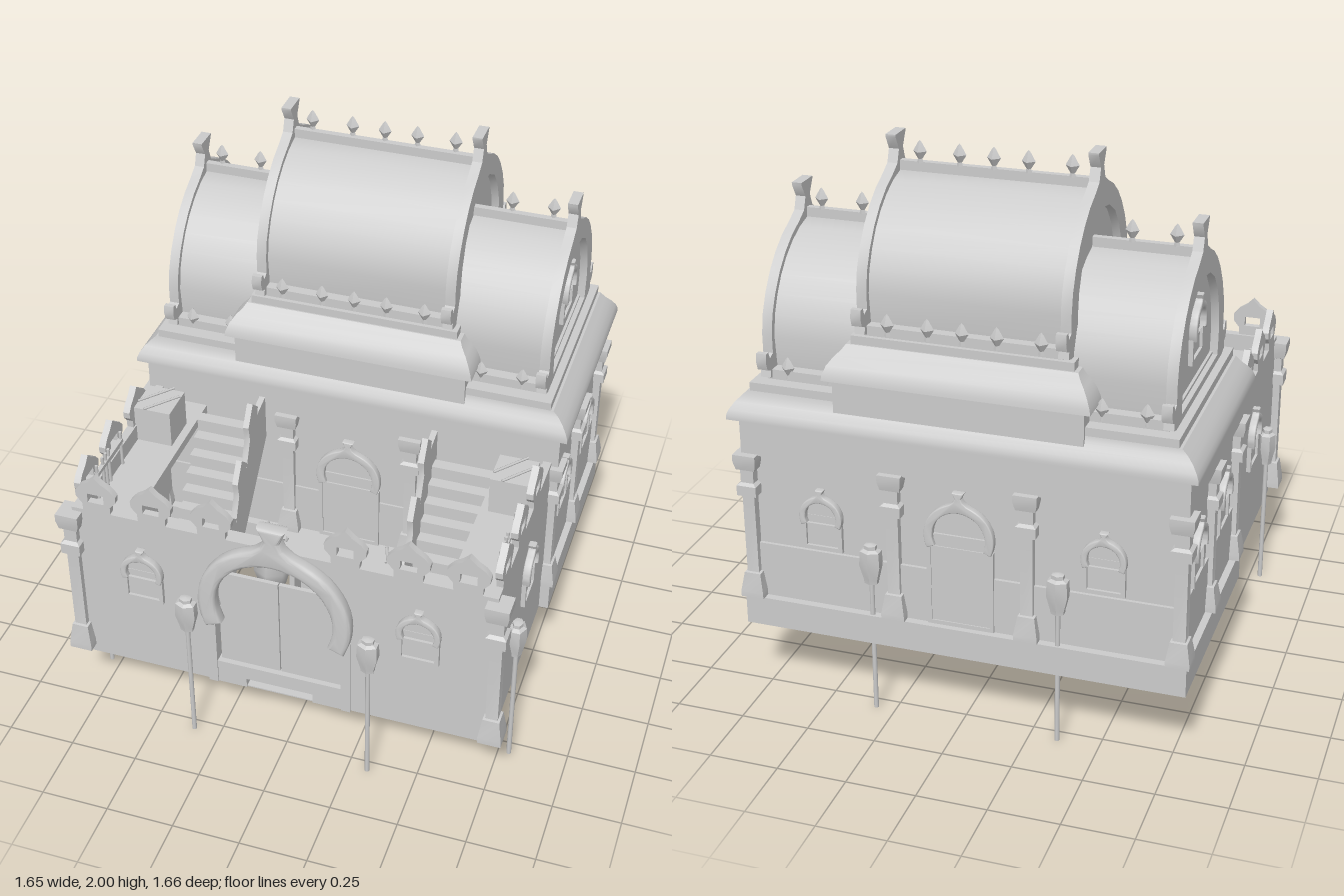
import * as THREE from 'three';
import { toCreasedNormals } from 'three/addons/utils/BufferGeometryUtils.js';

const mat = new THREE.MeshStandardMaterial({ color: 0xcccccc, side: THREE.DoubleSide });
const CZ = -0.392; // centre line of the hall in z
const V = (p) => p.map(([x, y]) => new THREE.Vector2(x, y));
const mirrorPts = (half) => [...half, ...half.filter(p => p[0] > 0).reverse().map(([x, y]) => [-x, y])];

export function createModel() {
  const root = new THREE.Group();

  const add = (parent, name, geo, x = 0, y = 0, z = 0, ry = 0) => {
    const m = new THREE.Mesh(geo, mat);
    m.name = name;
    m.position.set(x, y, z);
    m.rotation.y = ry;
    parent.add(m);
    return m;
  };
  // box given by its limits
  const box = (name, x0, x1, y0, y1, z0, z1, parent = root) =>
    add(parent, name, new THREE.BoxGeometry(x1 - x0, y1 - y0, z1 - z0), (x0 + x1) / 2, (y0 + y1) / 2, (z0 + z1) / 2);
  // extruded outline with optional holes and bevel
  const extrude = (pts, depth, holes = [], bevel = 0) => {
    const s = new THREE.Shape(V(pts));
    holes.forEach(h => s.holes.push(new THREE.Path(V(h))));
    return toCreasedNormals(new THREE.ExtrudeGeometry(s, {
      depth, bevelEnabled: bevel > 0, bevelSize: bevel, bevelThickness: bevel, bevelSegments: 3 }), 0.6);
  };
  // outline drawn in (z, y), spanning x0..x1
  const alongX = (name, pts, x0, x1, holes) =>
    add(root, name, extrude(pts, x1 - x0, holes).rotateY(-Math.PI / 2), x1);
  // stacked rectangles [halfX, halfZ, y], closed at both ends
  const loft = (levels) => {
    const p = [], idx = [];
    levels.forEach(([a, b, y]) => p.push(-a, y, b, a, y, b, a, y, -b, -a, y, -b));
    for (let i = 0; i < levels.length - 1; i++) for (let j = 0; j < 4; j++) {
      const a = i * 4 + j, b = i * 4 + (j + 1) % 4;
      idx.push(a, b, b + 4, a, b + 4, a + 4);
    }
    const t = (levels.length - 1) * 4;
    idx.push(0, 2, 1, 0, 3, 2, t, t + 1, t + 2, t, t + 2, t + 3);
    const g = new THREE.BufferGeometry();
    g.setAttribute('position', new THREE.Float32BufferAttribute(p, 3));
    g.setIndex(idx);
    return toCreasedNormals(g, 0.6);
  };
  const arc = (r, a0, a1, n, cy = 0) => Array.from({ length: n + 1 }, (_, i) => {
    const a = (a0 + (a1 - a0) * i / n) * Math.PI / 180;
    return [r * Math.cos(a), cy + r * Math.sin(a)];
  });
  // horseshoe arch band: ogee shoulders rising to a narrow neck and flared tip
  const archBand = (ri, ro, tip, depth, bevel) => {
    const half = [...arc(ro, -22, 66, 12), [ro * 0.24, ro * 0.99], [ro * 0.11, ro + tip * 0.25],
      [ro * 0.05, ro + tip * 0.6], [ro * 0.13, ro + tip]];
    return extrude([...mirrorPts(half), ...arc(ri, 202, -22, 24)], depth, [], bevel);
  };

  // framed opening facing +z; r = arch radius, h = height below the arch centre
  const opening = (name, x, y, z, ry, r, h) => {
    const g = new THREE.Group();
    g.name = name;
    const w = r * 0.92;
    add(g, 'frame', extrude([[-w, -h], [w, -h], [w, -r * 0.35], [-w, -r * 0.35]], 0.016,
      [[[-w + .015, -h + .015], [w - .015, -h + .015], [w - .015, -r * 0.36], [-w + .015, -r * 0.36]]]));
    add(g, 'pane', new THREE.CircleGeometry(r * 0.8, 20), 0, 0, 0.004);
    box('panel', -w + .01, w - .01, -h + .01, 0, 0, 0.006, g);
    add(g, 'arch', archBand(r * 0.76, r * 0.93, r * 0.35, 0.02, 0.004), 0, 0, 0.004);
    g.position.set(x, y, z);
    g.rotation.y = ry;
    root.add(g);
  };

  // main hall body on an open base ring
  box('hallBaseFront', -0.8, 0.8, 0.27, 0.38, 0, 0.04);
  box('hallBaseBack', -0.8, 0.8, 0.27, 0.38, -0.815, -0.775);
  for (const s of [-1, 1]) box('hallBaseSide', s * .78 - .02, s * .78 + .02, 0.27, 0.38, -0.815, 0.04);
  box('hallWalls', -0.765, 0.765, 0.37, 0.95, -0.775, 0);
  box('wainscot', -0.775, 0.775, 0.38, 0.585, -0.787, 0.008);
  box('frieze', -0.79, 0.79, 0.93, 1.07, -0.8, 0.02);
  add(root, 'mainCornice', loft([[.82, .443, 1.07], [.82, .443, 1.085], [.812, .436, 1.105], [.795, .42, 1.13],
    [.775, .405, 1.15], [.755, .4, 1.17]]), 0, 0, CZ);
  box('roofSlab', -0.745, 0.745, 1.17, 1.2, CZ - 0.4, CZ + 0.4);
  box('vaultPlinth', -0.7, 0.7, 1.2, 1.235, CZ - 0.35, CZ + 0.35);
  box('centreBlock', -0.435, 0.435, 1.13, 1.26, CZ - 0.415, CZ + 0.415);
  add(root, 'centreCornice', loft([[.463, .443, 1.26], [.46, .44, 1.28], [.448, .428, 1.31], [.43, .405, 1.335],
    [.41, .38, 1.355], [.4, .365, 1.37]]), 0, 0, CZ);
  box('centreSlab', -0.385, 0.385, 1.37, 1.4, CZ - 0.36, CZ + 0.36);
  box('centrePlinth', -0.345, 0.345, 1.4, 1.435, CZ - 0.345, CZ + 0.345);

  // vaults, gables and ridge finials
  const vault = mirrorPts([[.305, 0], [.318, .14], [.306, .215], [.277, .28], [.24, .337], [.194, .385], [.138, .425], [.075, .455], [0, .474]]);
  const gable = mirrorPts([[.33, 0], [.365, .01], [.36, .035], [.385, .045], [.395, .075], [.39, .105], [.372, .105], [.362, .08], [.337, .09],
    [.337, .155], [.325, .22], [.295, .287], [.25, .352], [.2, .403], [.14, .446], [.08, .474], [.035, .5], [.018, .545], [.045, .592], [.045, .6]]);
  const gableHole = mirrorPts([[.26, .025], [.268, .12], [.255, .2], [.22, .28], [.165, .345], [.09, .388], [0, .402]]);
  const finialGeo = toCreasedNormals(new THREE.LatheGeometry(V([[0, 0], [.012, .002], [.008, .016], [.024, .042], [.007, .072], [0, .08]]), 4), 0.4);
  for (const [hx, y, xs] of [[0.7, 1.2, [-.625, -.475, .475, .625]], [0.35, 1.4, [-.27, -.12, 0, .12, .26]]]) {
    const at = (pts) => pts.map(([z, v]) => [z + CZ, v + y]);
    alongX('vault', at(vault), -hx + 0.01, hx - 0.01);
    for (const s of [-1, 1]) alongX('gable', at(gable), s * hx - 0.018, s * hx + 0.018, [at(gableHole)]);
    box('ridge', -hx, hx, y + .46, y + .505, CZ - .012, CZ + .012);
    for (const x of xs) {
      add(root, 'finial', finialGeo, x, y + .5, CZ - .01);
      for (const s of [-1, 1]) add(root, 'finial', finialGeo, x, y + .005, CZ + s * .345);
    }
  }
  for (const s of [-1, 1]) opening('gableWindow', s * 0.69, 1.435, CZ, s * Math.PI / 2, 0.083, 0.12);

  // columns with blocky foot, straight shaft and two-step capital
  const columnGeo = loft([[.042, .042, 0], [.042, .042, .025], [.03, .03, .105], [.022, .022, .108], [.022, .022, .45],
    [.036, .036, .452], [.036, .036, .495], [.024, .024, .505], [.024, .024, .56], [.035, .035, .565], [.042, .042, .6], [.042, .042, .63]]);
  for (const s of [-1, 1]) {
    for (const z of [0, CZ, -0.785]) add(root, 'column', columnGeo, s * 0.77, 0.38, z).scale.y = 0.88;
    for (const z of [0, -0.78]) add(root, 'column', columnGeo, s * 0.24, 0.38, z).scale.y = 0.88;
    add(root, 'cornerColumn', columnGeo, s * 0.77, 0.305, 0.775);
  }

  // windows and hall doors
  for (const s of [-1, 1]) {
    for (const z of [0.335, -0.19, -0.585]) opening('sideWindow', s * .766, 0.725, z, s * Math.PI / 2, 0.08, 0.13);
    opening('frontWindow', s * 0.505 - .005, 0.725, 0.775, 0, 0.08, 0.13);
    opening('backWindow', s * 0.505, 0.725, -0.776, Math.PI, 0.08, 0.13);
  }
  opening('hallDoor', 0, 0.69, 0.002, 0, 0.13, 0.31);
  opening('backDoor', 0, 0.73, -0.778, Math.PI, 0.13, 0.35);
  box('hallDoorLeaf', -0.11, 0.11, 0.38, 0.69, 0, 0.012);
  box('backDoorLeaf', -0.11, 0.11, 0.38, 0.73, -0.79, -0.77);

  // courtyard walls with arched gateway
  const gx = -0.012;
  const gate = [[.235, .275], [.235, .6], ...arc(.225, -15, 195, 24, .69), [-.235, .6], [-.235, .275]].map(([x, y]) => [x + gx, y]);
  add(root, 'frontWall', extrude([[-.765, .27], [.765, .27], [.765, .95], [-.765, .95]], 0.035, [gate]), 0, 0, 0.74);
  add(root, 'gateArch', archBand(.23, .265, .108, .024, .015), gx, .69, .788);
  box('sill', gx - .235, gx + .235, .31, .37, .735, .78);
  for (const s of [-1, 1]) {
    const x = gx + s * .25, d = gx + s * .113, k = gx + s * .18;
    box('sillFoot', k - .055, k + .055, .27, .31, .735, .78);
    box('gateJamb', x - .017, x + .017, .27, .6, .74, .785);
    box('gateDoor', d - .111, d + .111, .37, .78, .745, .76);
    box('sideWall', s * .75 - .015, s * .75 + .015, .27, .95, 0, .76);
  }

  // battlements
  const merlonPts = mirrorPts([[.05, -.005], [.052, .03], [.073, .055], [.075, .08], [.055, .105], [.025, .125], [0, .15]]);
  const merlonGeo = extrude(merlonPts, 0.025, [[[-.03, .038], [.03, .038], [.03, .075], [-.03, .075]]]);
  for (const s of [-1, 1]) {
    for (const x of [.24, .46, .665]) add(root, 'merlon', merlonGeo, s * x - .005, .95, .75);
    for (const z of [.24, .455, .665]) add(root, 'merlon', merlonGeo, s * .7525 - .0125, .95, z, Math.PI / 2);
  }

  // wall walk, stairs and stepped parapets
  box('frontWalk', -.75, .75, .85, .885, .65, .75);
  const N = 12, z0 = .05, z1 = .59, y0 = .28, y1 = .885;
  const steps = [];
  for (let i = 0; i < N; i++) {
    const z = z1 - (z1 - z0) * i / N, zn = z1 - (z1 - z0) * (i + 1) / N, y = y0 + (y1 - y0) * (i + 1) / N;
    steps.push([z, y], [zn, y]);
  }
  const stairUnderside = steps.map(([z, y]) => [z - .02, y - .035]).reverse();
  const parapet = [[.59, .27], [.59, .42]];
  for (let i = 0; i < 4; i++) {
    const z = .54 - i * .128, y = .42 + i * .167;
    parapet.push([z + .04, y], [z + .05, y + .06], [z, y + .135], [z - .05, y + .09], [z - .04, y + .06]);
  }
  parapet.push([.03, 1.0], [.03, .82], [.54, .27]);
  for (const s of [-1, 1]) {
    box('sideWalk', s * .66 - .09, s * .66 + .09, .85, .885, 0, .75);
    alongX('stairs', [[z1, y0], ...steps, ...stairUnderside], s * .45 - .12, s * .45 + .12);
    alongX('stairParapet', parapet, s * .332 - .011, s * .332 + .011);

    // crate with sticks on the walk
    box('crate', s * .672 - .072, s * .672 + .072, .885, 1.03, .13, .275);
    for (const k of [-.02, .02]) {
      const rod = add(root, 'stick', new THREE.CylinderGeometry(.005, .005, .15, 6), s * .672 + k, 1.034, .2 + k);
      rod.rotation.set(Math.PI / 2, 0, .7);
    }
    // weapon rack
    box('rackRail', s * .73 - .008, s * .73 + .008, .985, 1.0, .42, .635);
    for (const z of [.425, .53, .555, .58, .63])
      add(root, 'rackPost', new THREE.CylinderGeometry(.006, .006, .15, 6), s * .73, .955, z);

    // open pot with sticks beside the hall steps
    add(root, 'pot', new THREE.LatheGeometry(V([[0, 0], [.05, 0], [.075, .09], [.065, .15], [.075, .17], [.058, .17], [.05, .1], [0, .1]]), 7),
      s * .235, .28, .235);
    for (let i = 0; i < 3; i++) {
      const a = i * 2.1, rod = add(root, 'potStick', new THREE.CylinderGeometry(.006, .006, .17, 6),
        s * .235 + .035 * Math.cos(a), .45, .235 + .035 * Math.sin(a));
      rod.rotation.set(Math.sin(a) * .4, 0, -Math.cos(a) * .4);
    }
    box('stepRail', s * .125 - .01, s * .125 + .01, .27, .42, .16, .32);
  }

  // landing and steps to the hall door
  box('landing', -.285, .265, .27, .38, .03, .16);
  for (let i = 0; i < 3; i++) box('hallStep', -.145, .135, .27, .355 - i * .028, .16, .205 + i * .043);

  // lantern poles around the outside
  const lanternGeo = toCreasedNormals(new THREE.LatheGeometry(V([[0, .505], [.026, .505], [.028, .52], [.043, .575], [.04, .63],
    [.024, .638], [.024, .652], [0, .658]]), 6), 0.5);
  for (const [x, z] of [[-.35, .79], [.322, .79], [-.35, -.8], [.322, -.8], [-.79, .548], [.79, .548]]) {
    const g = new THREE.Group();
    g.name = 'lanternPole';
    add(g, 'pole', new THREE.CylinderGeometry(.009, .009, .52, 8), 0, .26, 0);
    add(g, 'lantern', lanternGeo).scale.z = 0.8;
    g.position.set(x, 0, z);
    g.rotation.y = Math.abs(x) > 0.5 ? Math.PI / 2 : 0;
    root.add(g);
  }
  return root;
}
